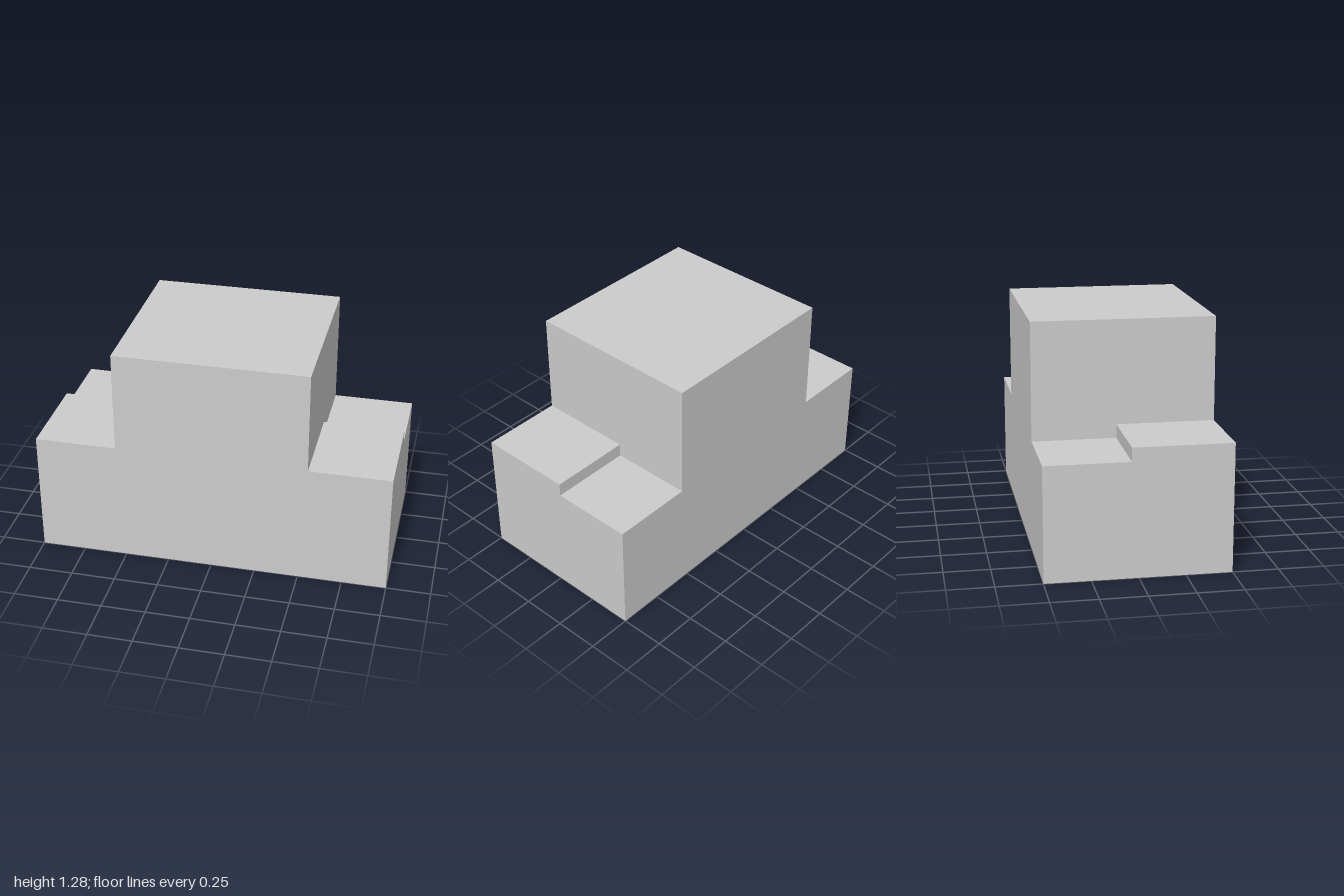
import * as THREE from 'three';

export function createModel() {
  const model = new THREE.Group();
  model.name = 'steppedBlock';
  const material = new THREE.MeshStandardMaterial({ color: 0xcccccc, flatShading: true });

  const halfLength = 1, halfDepth = 0.5, halfTower = 0.54, height = 1.28;
  const frontLevel = 0.705, backLevel = 0.63, stepZ = -0.04;

  // Tall middle block
  const tower = new THREE.Mesh(new THREE.BoxGeometry(halfTower * 2, height, halfDepth * 2), material);
  tower.name = 'centralBlock';
  tower.position.y = height / 2;
  model.add(tower);

  // Stepped side profile of a shoulder, drawn as (z, y)
  const profile = new THREE.Shape([
    [-halfDepth, 0], [halfDepth, 0], [halfDepth, frontLevel],
    [stepZ, frontLevel], [stepZ, backLevel], [-halfDepth, backLevel],
  ].map(([z, y]) => new THREE.Vector2(z, y)));

  const shoulderGeometry = new THREE.ExtrudeGeometry(profile, {
    depth: halfLength - halfTower, bevelEnabled: false,
  });
  shoulderGeometry.rotateY(-Math.PI / 2); // profile x becomes z, extrusion runs toward -x

  // Low shoulder on each side of the middle block
  for (const [name, outerX] of [['leftShoulder', halfLength], ['rightShoulder', -halfTower]]) {
    const shoulder = new THREE.Mesh(shoulderGeometry, material);
    shoulder.name = name;
    shoulder.position.x = outerX;
    model.add(shoulder);
  }

  return model;
}
